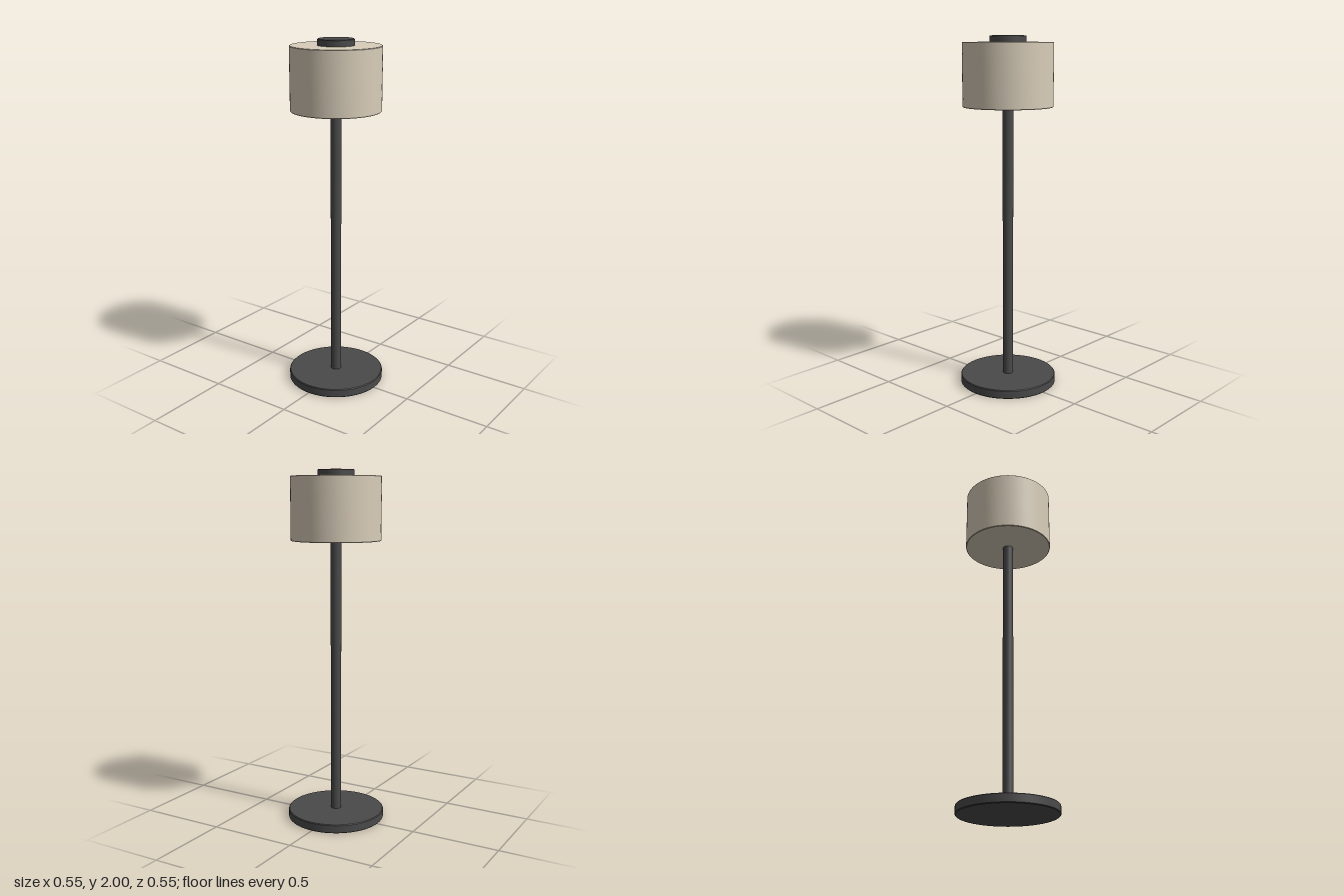
import * as THREE from 'three';
import { toCreasedNormals } from 'three/addons/utils/BufferGeometryUtils.js';

const metal = new THREE.MeshStandardMaterial({ color: 0x4a4a4a });
metal.name = 'dark metal';
const linen = new THREE.MeshStandardMaterial({ color: 0xd8cdb9 });
linen.name = 'beige linen';

// Closed upright disc or drum with a narrow chamfer on both rims
function drum(name, radius, bottom, top, chamfer, material, segments = 64) {
  const profile = [
    [0, bottom],
    [radius - chamfer, bottom],
    [radius, bottom + chamfer],
    [radius, top - chamfer],
    [radius - chamfer, top],
    [0, top],
  ].map(([r, y]) => new THREE.Vector2(r, y));
  const geometry = toCreasedNormals(new THREE.LatheGeometry(profile, segments), 0.5);
  const mesh = new THREE.Mesh(geometry, material);
  mesh.name = name;
  return mesh;
}

export function createModel() {
  const lamp = new THREE.Group();
  lamp.name = 'tableLamp';

  // Weighted foot
  lamp.add(drum('base', 0.277, 0, 0.05, 0.004, metal));

  // Slim stem running up into the shade
  const stem = new THREE.Mesh(new THREE.CylinderGeometry(0.03, 0.03, 1.62, 32), metal);
  stem.name = 'stem';
  stem.position.y = 0.83;
  lamp.add(stem);

  // Drum shade and the cap on top of it
  lamp.add(drum('shade', 0.252, 1.612, 1.965, 0.003, linen));
  lamp.add(drum('cap', 0.101, 1.96, 2, 0.003, metal, 48));

  return lamp;
}
